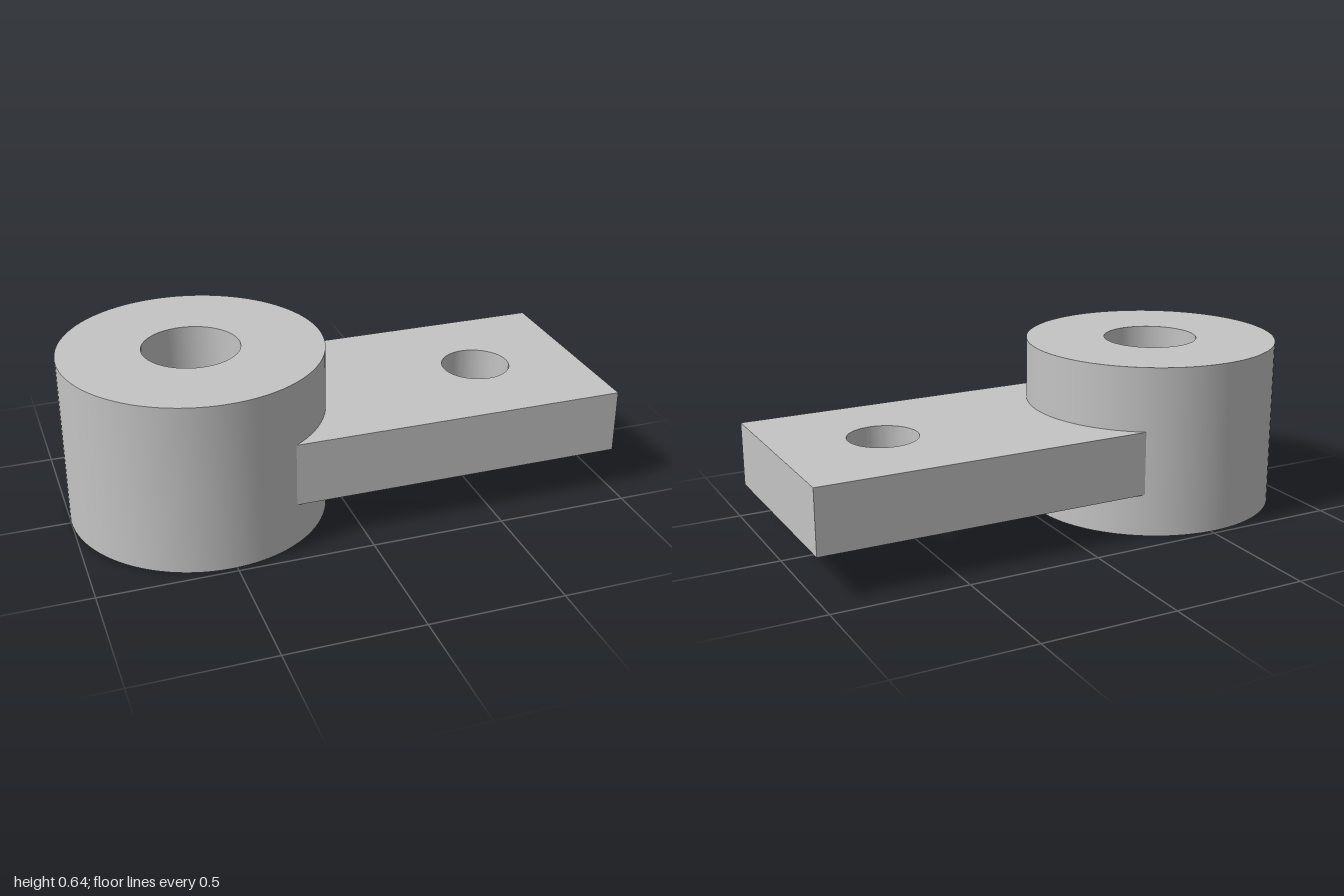
import * as THREE from 'three';
import { toCreasedNormals } from 'three/addons/utils/BufferGeometryUtils.js';

const BOSS_X = -0.52;

function circleHole(x, r) {
  return new THREE.Path().absarc(x, 0, r, 0, Math.PI * 2, true);
}

// Extrude a plan outline upwards from y0 to y1, smooth around curves, sharp at edges
function upright(name, shape, y0, y1, material) {
  const geometry = new THREE.ExtrudeGeometry(shape, {
    depth: y1 - y0, bevelEnabled: false, curveSegments: 48,
  });
  geometry.rotateX(-Math.PI / 2).translate(0, y0, 0);
  const mesh = new THREE.Mesh(toCreasedNormals(geometry, 0.5), material);
  mesh.name = name;
  return mesh;
}

export function createModel() {
  const group = new THREE.Group();
  group.name = 'pivotLug';
  const steel = new THREE.MeshStandardMaterial({ color: 0xc4c4c4 });
  steel.name = 'light grey';

  // Thick round boss with a bore
  const boss = new THREE.Shape().absarc(BOSS_X, 0, 0.48, 0, Math.PI * 2, false);
  boss.holes.push(circleHole(BOSS_X, 0.178));
  group.add(upright('boss', boss, 0, 0.64, steel));

  // Flat arm whose inner end is scooped to sit just inside the boss wall
  const seat = 0.475, half = 0.4;
  const angle = Math.asin(half / seat);
  const arm = new THREE.Shape();
  arm.moveTo(BOSS_X + seat * Math.cos(angle), -half);
  arm.lineTo(1, -half);
  arm.lineTo(1, half);
  arm.lineTo(BOSS_X + seat * Math.cos(angle), half);
  arm.absarc(BOSS_X, 0, seat, angle, -angle, true);
  arm.holes.push(circleHole(0.6, 0.13));
  group.add(upright('arm', arm, 0.16, 0.4, steel));

  return group;
}
